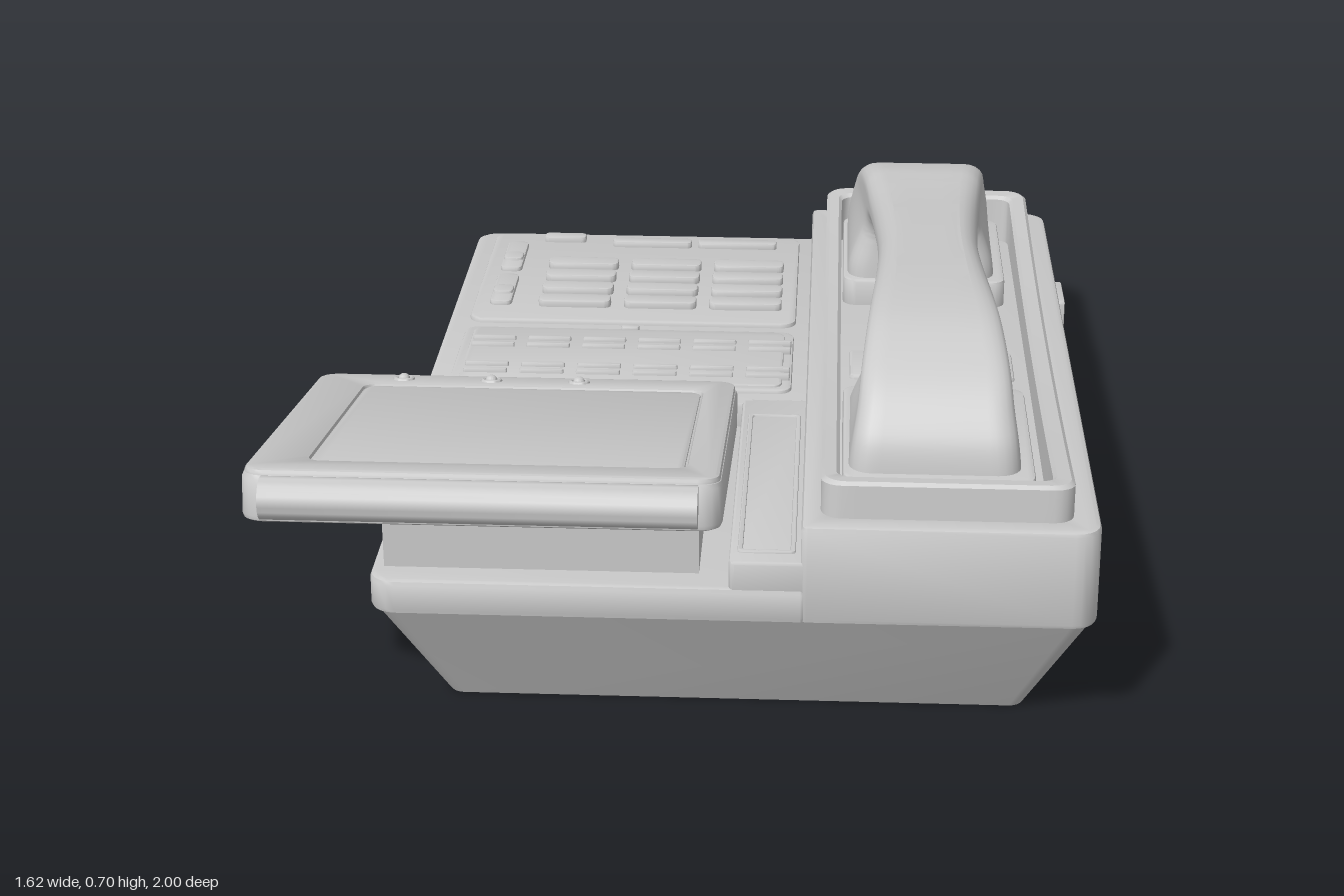
import * as THREE from 'three';
import { toCreasedNormals } from 'three/addons/utils/BufferGeometryUtils.js';

const TILT = 0.086;      // slope of the upper housing
const PLANE = 0.184;     // height of the sloped parting line at z = 0
const DECK = 0.125;      // keypad deck height above the parting line
const material = new THREE.MeshStandardMaterial({ color: 0xcccccc, side: THREE.DoubleSide });

function add(parent, name, geometry, crease = 0.6) {
  const mesh = new THREE.Mesh(toCreasedNormals(geometry, crease), material);
  mesh.name = name;
  parent.add(mesh);
  return mesh;
}

// Rounded rectangle in (x, -z); r may be one radius or [right front, right back, left back, left front]
function rectPoints(x0, x1, z0, z1, r = 0.01, sides = 1) {
  const radii = Array.isArray(r) ? r : [r, r, r, r];
  const corners = [[x1, -z1, 1, -1], [x1, -z0, 1, 1], [x0, -z0, -1, 1], [x0, -z1, -1, -1]];
  const pts = [];
  corners.forEach(([x, y, sx, sy], i) => {
    const q = radii[i], last = pts[pts.length - 1];
    const arc = [];
    for (let k = 0; k <= 5; k++) {
      const a = (i - 1 + k / 5) * Math.PI / 2;
      arc.push(new THREE.Vector2(x - sx * q + Math.cos(a) * q, y - sy * q + Math.sin(a) * q));
    }
    if (last) for (let k = 1; k < sides; k++) pts.push(last.clone().lerp(arc[0], k / sides));
    pts.push(...arc);
  });
  const end = pts[pts.length - 1].clone();
  for (let k = 1; k < sides; k++) pts.push(end.clone().lerp(pts[0], k / sides));
  return pts;
}

// Flat slab with softened edges and an optional rectangular opening
function slab(x0, x1, z0, z1, y0, y1, { r = 0.01, b = 0.006, hole } = {}) {
  const shape = new THREE.Shape(rectPoints(x0, x1, z0, z1, r));
  if (hole) shape.holes.push(new THREE.Path(rectPoints(...hole)));
  return new THREE.ExtrudeGeometry(shape, {
    depth: y1 - y0 - 2 * b, bevelThickness: b, bevelSize: b, bevelOffset: -b, bevelSegments: 2,
  }).rotateX(-Math.PI / 2).translate(0, y0 + b, 0);
}

// Skin over closed rings of equal length, optionally closing the first ring
function loft(rings, capFirst) {
  const n = rings[0].length, pos = [], index = [];
  rings.forEach((ring) => ring.forEach((v) => pos.push(v.x, v.y, v.z)));
  for (let k = 0; k < rings.length - 1; k++)
    for (let i = 0; i < n; i++) {
      const a = k * n + i, b = k * n + (i + 1) % n;
      index.push(a, b, b + n, a, b + n, a + n);
    }
  if (capFirst) for (let i = 1; i < n - 1; i++) index.push(0, i + 1, i);
  const g = new THREE.BufferGeometry();
  g.setAttribute('position', new THREE.Float32BufferAttribute(pos, 3));
  g.setIndex(index);
  return g;
}

const vec = (list) => list.map(([a, b]) => new THREE.Vector2(a, b));
const lift = (pts, height) => pts.map((p) => new THREE.Vector3(p.x, height(-p.y), -p.y));

// Raised rim round the cradle, lower in the middle of its length
function rimGeometry() {
  const outline = (d) => rectPoints(0.255 + d, 0.73 - d, -0.935 + d, 0.84 - d, 0.04, 14);
  const inner = (d) => rectPoints(0.29 - d, 0.69 + d, -0.89 - d, 0.8 + d, 0.03, 14);
  const top = (z) => 0.24 + 0.033 * (Math.abs(z + 0.05) / 0.88) ** 2;
  const edge = (z) => top(z) - 0.007;
  return loft([lift(outline(0), () => 0.19), lift(outline(0), edge), lift(outline(0.007), top),
    lift(inner(0.007), top), lift(inner(0), edge), lift(inner(0), () => 0.14)]);
}

// Handset: rounded sections between an outer and an inner curve, from the back to the front
function handsetGeometry() {
  const outer = new THREE.SplineCurve(vec([[-0.885, 0.32], [-0.85, 0.385], [-0.775, 0.49], [-0.68, 0.555], [-0.57, 0.588],
    [-0.48, 0.6], [-0.35, 0.615], [-0.1, 0.65], [0.2, 0.688], [0.38, 0.7], [0.5, 0.69], [0.62, 0.65], [0.695, 0.585],
    [0.725, 0.52], [0.735, 0.4]]));
  const inner = new THREE.SplineCurve(vec([[-0.45, 0.32], [-0.455, 0.385], [-0.46, 0.44], [-0.457, 0.472], [-0.435, 0.498],
    [-0.39, 0.515], [-0.3, 0.528], [-0.1, 0.553], [0.12, 0.582], [0.2, 0.59], [0.245, 0.588], [0.28, 0.575],
    [0.3, 0.55], [0.305, 0.52], [0.29, 0.4]]));
  const rings = [];
  for (let k = 0; k <= 70; k++) {
    const o = outer.getPoint(k / 70), i = inner.getPoint(k / 70);
    const span = o.distanceTo(i);
    rings.push(rectPoints(-1, 1, 0, span, 0.045, 6).map((p) => {
      const q = o.clone().lerp(i, -p.y / span), z = q.x, y = q.y;
      // Grip is slim in the middle and spreads towards both ends and downwards
      const grip = 0.105 + 0.05 * Math.min(1, Math.abs(z + 0.05) / 0.75) ** 1.5;
      const drop = THREE.MathUtils.smoothstep(0.56 + TILT * z - y, 0, 0.15);
      const half = THREE.MathUtils.lerp(grip, 0.165, drop);
      const x = Math.sign(p.x) * Math.max(0, half - (1 - Math.abs(p.x)));
      return new THREE.Vector3(0.47 + (Math.abs(p.x) < 0.9 ? p.x * half : x), y, z);
    }));
  }
  return loft(rings, true);
}

export function createModel() {
  const model = new THREE.Group();
  model.name = 'deskTelephone';

  // Flared foot from the flat base up to the sloped parting line
  add(model, 'foot', loft([
    lift(rectPoints(-0.47, 0.66, -0.8, 0.74, 0.03), () => 0),
    lift(rectPoints(-0.587, 0.77, -0.97, 0.872, 0.04), (z) => PLANE + 0.004 + TILT * z),
  ], true), 0.3);

  // Sloped upper housing
  const housing = new THREE.Group();
  housing.name = 'housing';
  housing.position.y = PLANE;
  housing.rotation.x = -TILT;
  model.add(housing);
  const part = (name, x0, x1, z0, z1, y0, y1, opt) => {
    const mesh = add(housing, name, slab(x0, x1, z0, z1, y0, y1, opt));
    mesh.position.z = TILT * y1;
    return mesh;
  };
  const button = (name, x, z, w, d, height) =>
    part(name, x - w / 2, x + w / 2, z - d / 2, z + d / 2, DECK, DECK + height, { r: Math.min(w, d) * 0.3, b: 0.004 });

  add(housing, 'frontLedge', slab(-0.597, 0.23, -0.985, 0.885, 0, 0.07, { r: [0.01, 0.01, 0.05, 0.05], b: 0.01 }));
  add(housing, 'keypadDeck', slab(-0.597, 0.23, -0.985, 0.092, 0.03, DECK, { r: [0.01, 0.01, 0.05, 0.01], b: 0.01 }));
  add(housing, 'cradleBody', slab(0.22, 0.78, -0.985, 0.885, 0, 0.2,
    { r: [0.05, 0.05, 0.012, 0.012], b: 0.01, hole: [0.28, 0.7, -0.9, 0.81, 0.03] }));
  add(housing, 'cradleFloor', slab(0.27, 0.71, -0.91, 0.82, 0.01, 0.16));
  add(housing, 'cradleRim', rimGeometry());

  // Rests under the earpiece and mouthpiece, with the hook between them
  part('earpieceRest', 0.295, 0.66, -0.89, -0.44, 0.13, 0.22, { r: 0.03 });
  part('mouthpieceRest', 0.295, 0.66, 0.28, 0.755, 0.13, 0.255, { r: 0.03 });
  part('hookPlate', 0.31, 0.66, -0.13, 0.02, 0.14, 0.17);
  part('hook', 0.44, 0.5, 0.13, 0.17, 0.15, 0.24);

  // Keypad plate and keys
  part('keypadPlate', -0.55, 0.19, -0.965, -0.365, DECK - 0.02, DECK + 0.01, { r: 0.035 });
  for (const z of [-0.73, -0.645, -0.56, -0.475])
    for (const x of [-0.318, -0.122, 0.073]) button('key', x, z, 0.165, 0.05, 0.026);
  button('smallKey', -0.378, -0.917, 0.1, 0.035, 0.024);
  for (const x of [-0.165, 0.04]) button('barKey', x, -0.89, 0.19, 0.035, 0.024);
  for (const z of [-0.78, -0.55]) {
    button('sideSwitch', -0.488, z, 0.05, 0.19, 0.02);
    button('switchKnob', -0.488, z + 0.02, 0.046, 0.05, 0.026);
  }

  // Line button plate
  part('linePlate', -0.55, 0.187, -0.325, 0.03, DECK - 0.02, DECK + 0.008, { r: 0.03 });
  part('lineInset', -0.53, 0.167, -0.31, 0.015, DECK - 0.02, DECK + 0.013, { r: 0.025 });
  button('plateTab', -0.18, -0.318, 0.04, 0.02, 0.018);
  for (const z of [-0.232, -0.192, -0.075, -0.037])
    for (let i = 0; i < 6; i++) button('lineButton', -0.475 + i * 0.122, z, 0.095, 0.014, 0.022);

  // Label strip beside the display
  add(housing, 'labelBlock', slab(0.085, 0.235, 0.07, 0.882, 0.05, DECK));
  part('labelFrame', 0.1, 0.21, 0.15, 0.83, DECK - 0.01, DECK + 0.005, { b: 0.003, hole: [0.11, 0.2, 0.16, 0.82, 0.005] });

  // Side socket
  const socket = new THREE.Group();
  socket.name = 'sideSocket';
  socket.position.set(0.775, 0.1, -0.585);
  socket.rotation.z = -Math.PI / 2;
  housing.add(socket);
  add(socket, 'socketFrame', slab(-0.044, 0.044, -0.07, 0.07, 0, 0.03, { b: 0.005, hole: [-0.025, 0.025, -0.045, 0.045, 0.004] }));
  add(socket, 'socketButton', slab(-0.018, 0.018, -0.036, 0.036, 0, 0.02, { b: 0.004 }));

  add(model, 'handset', handsetGeometry(), 0.8);

  // Wedge that carries the display, cut in side outline (z, y)
  const wedge = new THREE.Shape(vec([[0.22, 0.25], [0.81, 0.29], [0.81, 0.43], [0.74, 0.43], [0.22, 0.3]]));
  add(model, 'displayWedge', new THREE.ExtrudeGeometry(wedge, { depth: 0.6, bevelEnabled: false })
    .rotateY(-Math.PI / 2).translate(0.027, 0, 0));

  // Tilted display
  const display = new THREE.Group();
  display.name = 'display';
  display.position.set(-0.367, 0.485, 0.515);
  display.rotation.x = -0.262;
  model.add(display);
  add(display, 'displayCase', slab(-0.443, 0.443, -0.445, 0.445, -0.1, -0.008, { r: 0.045, b: 0.012 }));
  add(display, 'displayBezel', slab(-0.438, 0.438, -0.44, 0.44, -0.025, 0,
    { r: 0.04, b: 0.007, hole: [-0.33, 0.373, -0.343, 0.355, 0.03] }));
  add(display, 'screen', slab(-0.327, 0.37, -0.34, 0.352, -0.03, -0.004, { r: 0.028 }));
  const bar = add(display, 'frontBar', new THREE.CylinderGeometry(0.04, 0.04, 0.8, 24).rotateZ(Math.PI / 2));
  bar.position.set(0, -0.05, 0.453);
  for (const x of [-0.257, -0.073, 0.111]) {
    const ring = add(display, 'lampRing', new THREE.TorusGeometry(0.018, 0.005, 8, 20).rotateX(Math.PI / 2));
    const lamp = add(display, 'lamp', new THREE.SphereGeometry(0.013, 16, 8));
    ring.position.set(x, 0, -0.392);
    lamp.position.copy(ring.position);
  }
  return model;
}
